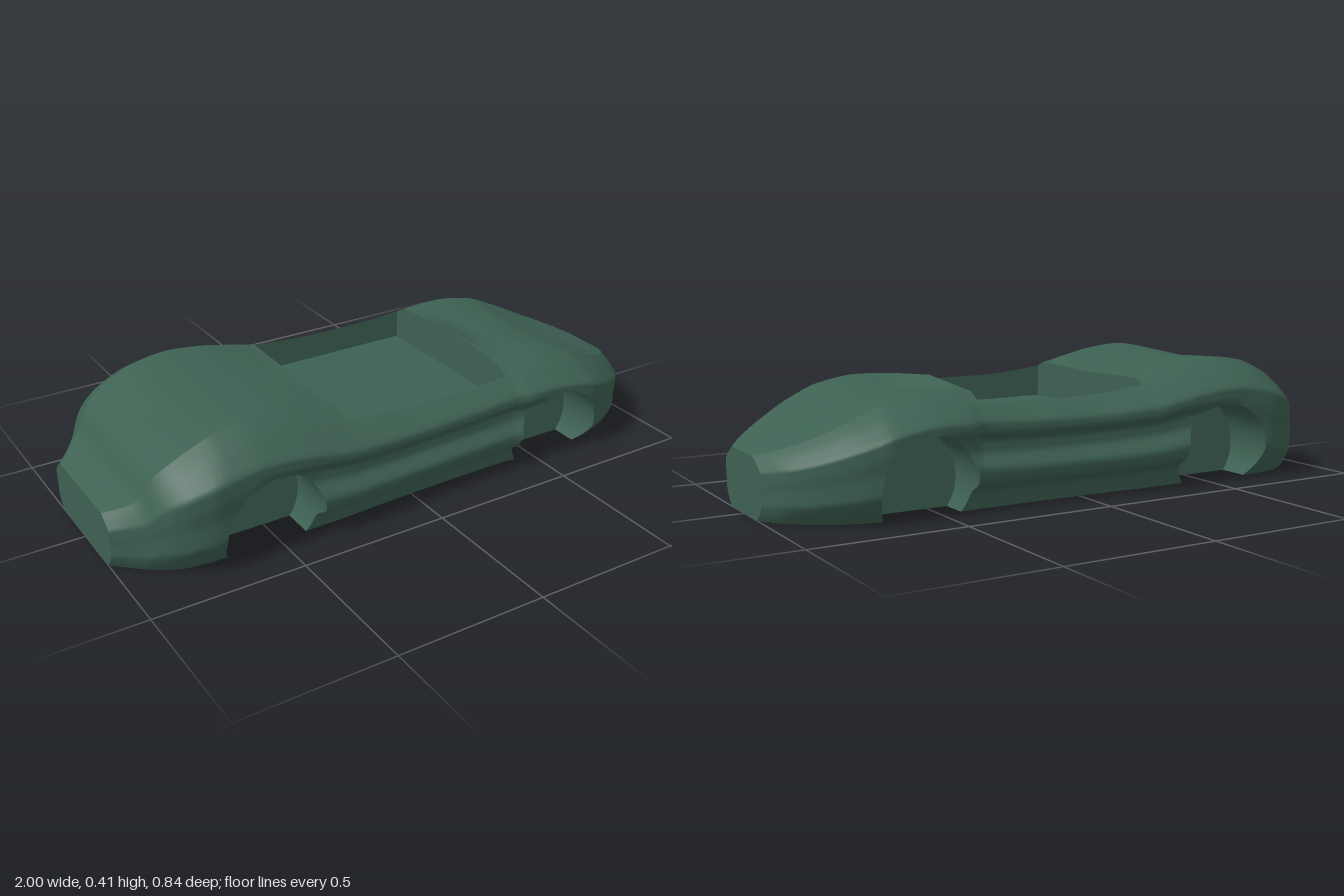
import * as THREE from 'three';

// Smooth curve through [x, value] keys, flat at local peaks
function curve(keys) {
  const n = keys.length;
  const d = i => (keys[i + 1][1] - keys[i][1]) / (keys[i + 1][0] - keys[i][0]);
  const m = keys.map((k, i) => {
    if (i === 0) return d(0);
    if (i === n - 1) return d(n - 2);
    const a = d(i - 1), b = d(i);
    return a * b <= 0 ? 0 : (2 * a * b) / (a + b);
  });
  return x => {
    let i = 0;
    while (i < n - 2 && x > keys[i + 1][0]) i++;
    const h = keys[i + 1][0] - keys[i][0];
    const t = Math.min(1, Math.max(0, (x - keys[i][0]) / h)), t2 = t * t, t3 = t2 * t;
    return keys[i][1] * (2 * t3 - 3 * t2 + 1) + m[i] * h * (t3 - 2 * t2 + t)
      + keys[i + 1][1] * (3 * t2 - 2 * t3) + m[i + 1] * h * (t3 - t2);
  };
}

// Shoulder height, deck centre height, widest half width, shoulder half width
const shoulderY = curve([[-1, .175], [-.95, .2], [-.91, .23], [-.88, .285], [-.84, .325], [-.76, .37],
  [-.68, .4], [-.57, .415], [-.45, .404], [-.33, .38], [-.245, .362], [0, .347], [.2, .35], [.37, .36],
  [.5, .365], [.65, .343], [.75, .302], [.86, .25], [.95, .212], [1, .19]]);
const centreDrop = curve([[-1, 0], [-.9, -.004], [-.57, -.017], [-.245, -.006], [.37, .022], [.42, -.005],
  [.5, -.025], [.7, -.028], [.85, -.015], [1, 0]]);
const widest = curve([[-1, .22], [-.95, .265], [-.9, .32], [-.85, .37], [-.8, .4], [-.72, .42], [-.3, .42],
  [-.2, .413], [0, .398], [.37, .387], [.43, .4], [.68, .405], [.75, .385], [.8, .36], [.85, .328],
  [.9, .29], [.95, .24], [1, .16]]);
const shoulderZ = curve([[-1, .17], [-.9, .25], [-.8, .283], [-.5, .292], [0, .282], [.55, .278],
  [.75, .265], [.85, .23], [.95, .155], [1, .09]]);

// Side section by relative height: plain at the ends, grooved between the wheels
const plain = curve([[0, .37], [.14, .72], [.3, .95], [.45, .95], [.65, 1], [.76, 1], [.85, .73], [.93, .4], [1, 0]]);
const grooved = curve([[0, .35], [.16, .5], [.26, .9], [.36, .97], [.52, .72], [.6, .72], [.7, 1], [.76, 1],
  [.85, .73], [.93, .4], [1, 0]]);
const grooveMix = curve([[-.62, 0], [-.35, 1], [.38, 1], [.58, 0]]);

function sideZ(x, y) {
  const t = y / shoulderY(x), g = grooveMix(x);
  const q = plain(t) * (1 - g) + grooved(t) * g;
  return shoulderZ(x) + (widest(x) - shoulderZ(x)) * q;
}
function topY(x, z) {
  const a = Math.abs(z), s = shoulderZ(x), y = shoulderY(x);
  if (a <= s) return y + centreDrop(x) * (1 - a / s);
  let lo = .76 * y, hi = y;
  for (let i = 0; i < 24; i++) {
    const mid = (lo + hi) / 2;
    if (sideZ(x, mid) > a) lo = mid; else hi = mid;
  }
  return lo;
}

// Surface over a unit square; f(u, v) gives [x, y, z]
function grid(nu, nv, f, flip = false) {
  const pos = [], idx = [], w = nu + 1;
  for (let j = 0; j <= nv; j++) for (let i = 0; i <= nu; i++) pos.push(...f(i / nu, j / nv));
  for (let j = 0; j < nv; j++) for (let i = 0; i < nu; i++) {
    const a = j * w + i, b = a + 1, c = a + w, d = c + 1;
    if (flip) idx.push(a, d, b, a, c, d); else idx.push(a, b, d, a, d, c);
  }
  const g = new THREE.BufferGeometry();
  g.setAttribute('position', new THREE.Float32BufferAttribute(pos, 3));
  g.setIndex(idx);
  g.computeVertexNormals();
  return g;
}

const mix = (a, b, t) => a + (b - a) * t;
const REAR = { x: -.54, y: .1, r: .168 }, FRONT = { x: .56, y: .095, r: .16 };
const WELL_Z = .23, PIT = { x0: -.245, x1: .37, z: .325, y: .235 };

export function createModel() {
  const model = new THREE.Group();
  const paint = new THREE.MeshStandardMaterial({ color: 0x3d6152 });
  paint.name = 'darkGreen';
  paint.side = THREE.DoubleSide;
  const add = (name, geometry) => {
    const mesh = new THREE.Mesh(geometry, paint);
    mesh.name = name;
    model.add(mesh);
  };

  // Edge of a wheel opening at height y; below the hub it curves back under
  const edge = (w, dir) => y => w.x + dir * (y < w.y ? Math.sqrt(w.r ** 2 - (y - w.y) ** 2) : w.r);
  const fixed = x => () => x;
  const strips = [
    [fixed(-1), edge(REAR, -1), 24], [edge(REAR, 1), fixed(PIT.x0), 8], [fixed(PIT.x0), fixed(PIT.x1), 30],
    [fixed(PIT.x1), edge(FRONT, -1), 4], [edge(FRONT, 1), fixed(1), 24]];

  for (const s of [1, -1]) {
    const label = s > 0 ? 'left' : 'right';
    // Side panels between the wheel openings
    strips.forEach(([from, to, n], k) => add(label + 'SidePanel', grid(n, 40, (u, v) => {
      const x0 = mix(from(1), to(1), u);
      const y = v * (k === 2 ? topY(x0, PIT.z) : shoulderY(x0));
      const x = mix(from(y), to(y), u);
      return [x, y, s * sideZ(x, y)];
    }, s < 0)));

    for (const w of [REAR, FRONT]) {
      const a0 = -Math.asin(w.y / w.r);
      // Fender above the opening
      add(label + 'Fender', grid(40, 24, (u, v) => {
        const c = -Math.cos(Math.PI * u), x = w.x + w.r * c;
        const y = mix(w.y + w.r * Math.sin(Math.PI * u), shoulderY(x), v);
        return [x, y, s * sideZ(x, y)];
      }, s < 0));
      // Curved wall and flat inner face of the wheel well
      add(label + 'WheelWell', grid(48, 2, (u, v) => {
        const a = mix(a0, Math.PI - a0, u);
        const x = w.x + w.r * Math.cos(a), y = Math.max(0, w.y + w.r * Math.sin(a));
        return [x, y, s * mix(WELL_Z, sideZ(x, y), v)];
      }, s < 0));
      add(label + 'WellInnerFace', grid(2, 32, (u, v) => {
        const a = mix(a0, Math.PI / 2, v);
        return [w.x + w.r * Math.cos(a) * (2 * u - 1), w.y + w.r * Math.sin(a), s * WELL_Z];
      }, s < 0));
    }

    // Cockpit side wall
    add(label + 'CockpitWall', grid(30, 1, (u, v) => {
      const x = mix(PIT.x0, PIT.x1, u);
      return [x, mix(PIT.y, topY(x, PIT.z), v), s * PIT.z];
    }, s > 0));
  }

  // Rear deck and hood
  for (const [name, a, b] of [['rearDeck', -1, PIT.x0], ['hood', PIT.x1, 1]])
    add(name, grid(48, 24, (u, v) => {
      const x = mix(a, b, u), z = shoulderZ(x) * (1 - 2 * v);
      return [x, topY(x, z), z];
    }));

  // Cockpit end walls and floor
  for (const [name, x, s] of [['cockpitRearWall', PIT.x0, 1], ['cockpitFrontWall', PIT.x1, -1]])
    add(name, grid(40, 1, (u, v) => {
      const z = s * PIT.z * (1 - 2 * u);
      return [x, mix(PIT.y, topY(x, z), v), z];
    }));
  add('cockpitFloor', grid(1, 1, (u, v) => [mix(PIT.x0, PIT.x1, u), PIT.y, PIT.z * (1 - 2 * v)]));

  // Nose and tail end faces
  for (const [name, s] of [['noseFace', 1], ['tailFace', -1]])
    add(name, grid(2, 24, (u, v) => {
      const y = v * shoulderY(s);
      return [s, y, s * sideZ(s, y) * (1 - 2 * u)];
    }));

  // Underside, narrowed between the wheel wells
  const cuts = [-1, edge(REAR, -1)(0), edge(REAR, 1)(0), edge(FRONT, -1)(0), edge(FRONT, 1)(0), 1];
  for (let i = 0; i < 5; i++)
    add('underside', grid(20, 1, (u, v) => {
      const x = mix(cuts[i], cuts[i + 1], u);
      return [x, 0, (i % 2 ? WELL_Z : sideZ(x, 0)) * (2 * v - 1)];
    }));

  return model;
}
